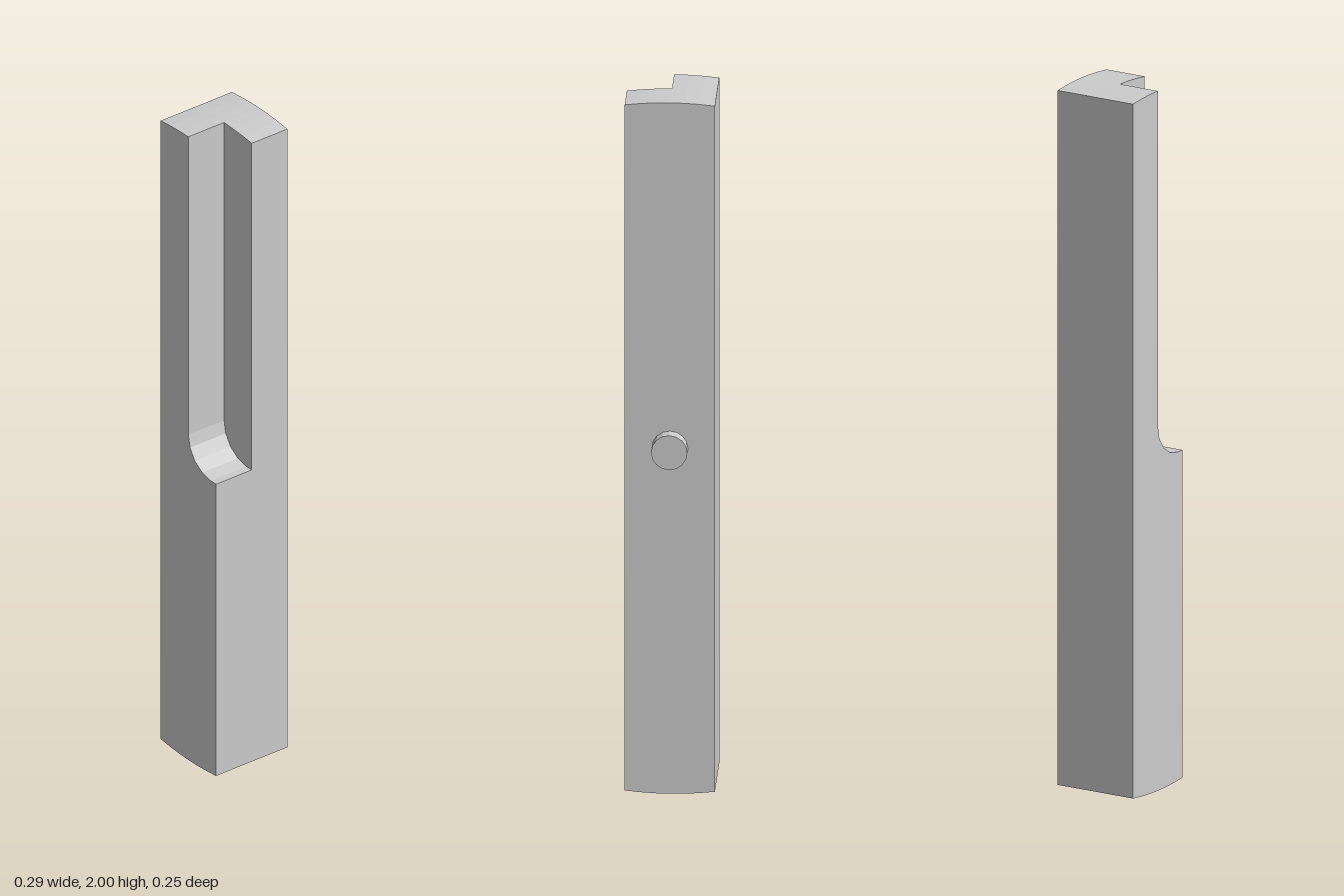
import * as THREE from 'three';

const HALF = 0.124;          // half width of the square bar
const RIGHT = -0.144, STEP = -0.02, LEFT = 0.104;
const FLOOR = 0.944, FILLET = 0.1;

const material = new THREE.MeshStandardMaterial({ color: 0xcccccc, flatShading: true });

// Points on a bar end: an arc of radius 1 about the pin axis at y = 1
function endArc(z0, z1, sign, steps = 6) {
  return Array.from({ length: steps + 1 }, (_, i) => {
    const z = z0 + (z1 - z0) * i / steps;
    return new THREE.Vector2(z, 1 + sign * Math.sqrt(1 - z * z));
  });
}

// Extrudes a (z, y) profile along x
function slab(name, points, x0, x1) {
  const geometry = new THREE.ExtrudeGeometry(new THREE.Shape(points), { depth: x1 - x0, bevelEnabled: false });
  geometry.rotateY(-Math.PI / 2).translate(x1, 0, 0);
  const mesh = new THREE.Mesh(geometry, material);
  mesh.name = name;
  return mesh;
}

export function createModel() {
  const group = new THREE.Group();
  group.name = 'pivotBar';
  const bottom = endArc(-HALF, HALF, -1);

  // Full-depth half of the bar, with rounded ends
  group.add(slab('fullHalf', [...bottom, ...endArc(HALF, -HALF, 1)], STEP, LEFT));

  // Notched half: flat ledge, then a four-step concave fillet up to the wall
  const fillet = Array.from({ length: 5 }, (_, i) => {
    const a = i / 4 * Math.PI / 2;
    return new THREE.Vector2(FILLET * (1 - Math.sin(a)), FLOOR + FILLET * (1 - Math.cos(a)));
  });
  group.add(slab('notchedHalf', [
    ...bottom, new THREE.Vector2(HALF, FLOOR), ...fillet, ...endArc(0, -HALF, 1, 3),
  ], RIGHT, STEP));

  // Pivot pin on the left side
  const pin = new THREE.Mesh(new THREE.CylinderGeometry(0.05, 0.05, 0.04, 16), material);
  pin.name = 'pivotPin';
  pin.rotation.z = -Math.PI / 2;
  pin.position.set(LEFT + 0.02, 1, 0);
  group.add(pin);

  return group;
}
